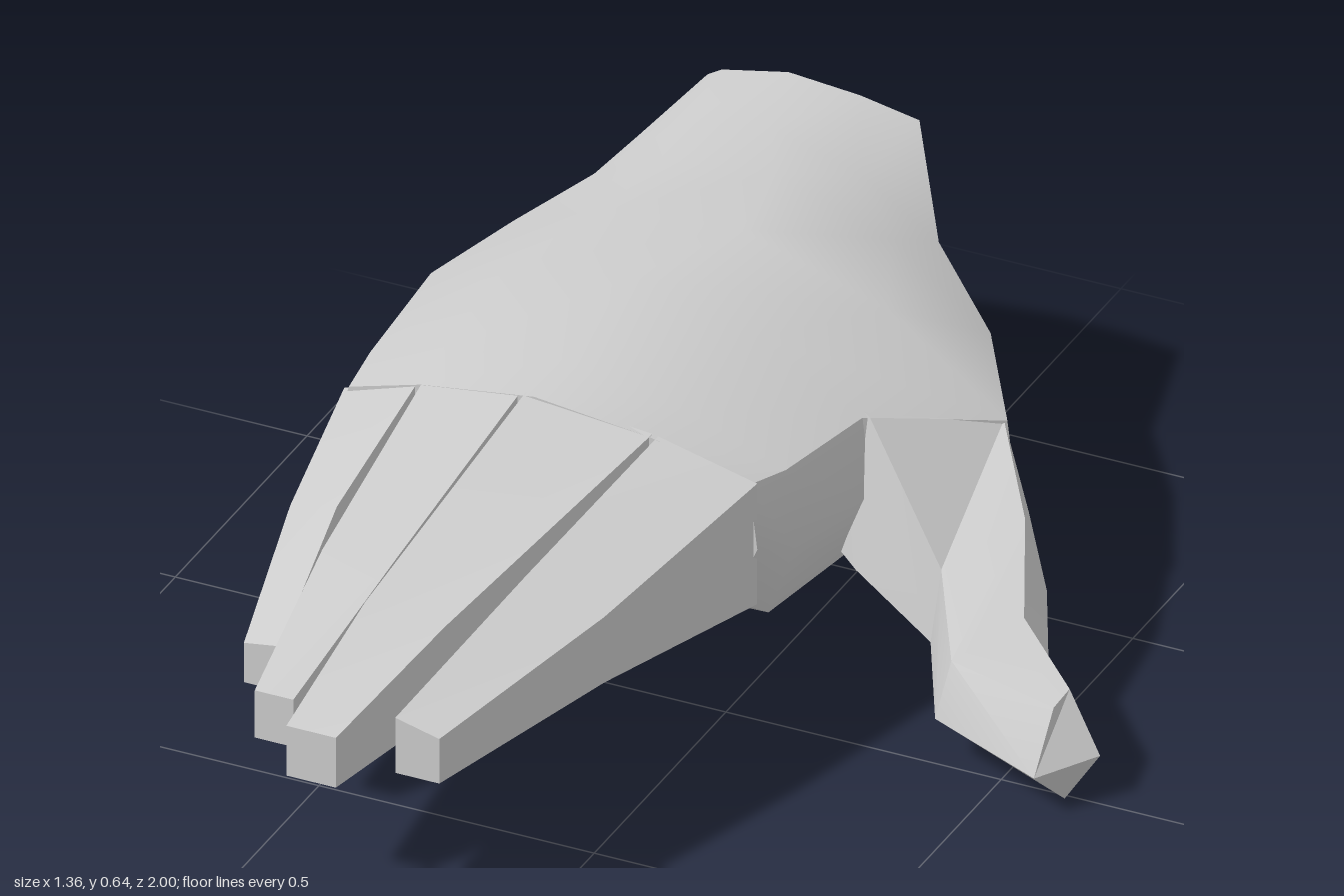
import * as THREE from 'three';
import { toCreasedNormals } from 'three/addons/utils/BufferGeometryUtils.js';

const material = new THREE.MeshStandardMaterial({ color: 0xcccccc, side: THREE.DoubleSide });
const mix = THREE.MathUtils.lerp;

// Skin a list of rings (each a list of [x, y, z], clockwise seen from the far end), closing the last one
function loft(name, rings) {
  const n = rings[0].length;
  const index = [];
  for (let i = 0; i < rings.length - 1; i++) {
    for (let j = 0; j < n; j++) {
      const a = i * n + j, b = i * n + (j + 1) % n;
      index.push(a, a + n, b, b, a + n, b + n);
    }
  }
  // End cap, fanned from the fourth corner
  const base = (rings.length - 1) * n;
  for (let k = 1; k < n - 1; k++) index.push(base + 3, base + (4 + k) % n, base + (3 + k) % n);
  const geometry = new THREE.BufferGeometry();
  geometry.setAttribute('position', new THREE.Float32BufferAttribute(rings.flat(2), 3));
  geometry.setIndex(index);
  const mesh = new THREE.Mesh(toCreasedNormals(geometry, 0.6), material);
  mesh.name = name;
  return mesh;
}

// Palm cross-section: an arched back, a ridge on the thumb side and a shallow underside
function palmRing(z, left, right, crown, ridge, floor, heel, shoulder = 0.03, tilt = 0) {
  const outline = [
    [0, 0.425], [shoulder, mix(0.425, crown, 0.5 + 2 * shoulder)], [0.2, crown - 0.03], [0.47, crown],
    [0.75, mix(crown, ridge, 0.35)], [0.98, ridge], [1, mix(ridge, heel, 0.52)],
    [0.94, heel], [0.52, floor], [0.2, mix(floor, 0.28, 0.5)], [0.03, 0.285],
  ];
  return outline.map(([t, y]) => [mix(left, right, t), y, z + tilt * (y - 0.43)]);
}

// Four-cornered finger cross-section
const fingerRing = (z, left, right, topLeft, topRight, bottom) =>
  [[left, topLeft, z], [right, topRight, z], [right, bottom, z], [left, bottom, z]];

// Rows: z, left x, right x, left top y, right top y, bottom y
const fingers = {
  littleFinger: [
    [0.09, -0.65, -0.517, 0.5, 0.544, 0.28],
    [0.4, -0.6, -0.515, 0.455, 0.475, 0.305],
    [0.67, -0.555, -0.49, 0.35, 0.36, 0.275]],
  ringFinger: [
    [0.09, -0.507, -0.33, 0.549, 0.574, 0.27],
    [0.55, -0.47, -0.34, 0.485, 0.495, 0.32],
    [0.89, -0.43, -0.36, 0.41, 0.41, 0.32]],
  middleFinger: [
    [0.09, -0.32, -0.09, 0.577, 0.556, 0.27],
    [0.7, -0.32, -0.175, 0.505, 0.495, 0.335],
    [1, -0.32, -0.23, 0.43, 0.43, 0.335]],
  indexFinger: [
    [0.09, -0.08, 0.1, 0.554, 0.51, 0.28],
    [0.5, -0.122, 0.018, 0.5, 0.455, 0.33],
    [0.9, -0.17, -0.09, 0.43, 0.41, 0.325]],
};

export function createModel() {
  const hand = new THREE.Group();
  hand.name = 'hand';

  // Palm from the open, slanted wrist to the knuckles: z, left, right, crown, ridge, floor, heel
  hand.add(loft('palm', [
    palmRing(-0.955, -0.54, -0.08, 0.645, 0.61, 0.19, 0.25, 0.14, 0.186),
    palmRing(-0.75, -0.56, 0.04, 0.64, 0.5, 0.17, 0.17, 0.07),
    palmRing(-0.63, -0.575, 0.195, 0.635, 0.43, 0.17, 0.11, 0.045),
    palmRing(-0.45, -0.63, 0.315, 0.63, 0.39, 0.16, 0.1),
    palmRing(-0.25, -0.68, 0.145, 0.62, 0.46, 0.17, 0.19),
    palmRing(0, -0.67, 0.125, 0.595, 0.49, 0.2, 0.21),
    palmRing(0.1, -0.66, 0.105, 0.578, 0.51, 0.265, 0.28),
  ]));

  for (const [name, rows] of Object.entries(fingers)) {
    hand.add(loft(name, rows.map((row) => fingerRing(...row))));
  }

  // Thumb: top ridge, outer side, underside, lower and upper inner edge, out to a pointed tip
  hand.add(loft('thumb', [
    [[0.12, 0.39, -0.62], [0.16, 0.28, -0.62], [0.1, 0.15, -0.56], [-0.03, 0.24, -0.32], [-0.03, 0.5, -0.35]],
    [[0.29, 0.39, -0.45], [0.33, 0.22, -0.46], [0.22, 0.1, -0.4], [0.14, 0.2, -0.2], [0.14, 0.46, -0.255]],
    [[0.4, 0.31, -0.3], [0.43, 0.17, -0.32], [0.33, 0.07, -0.25], [0.3, 0.13, -0.15], [0.31, 0.26, -0.17]],
    [[0.47, 0.22, -0.15], [0.51, 0.12, -0.16], [0.48, 0.005, -0.08], [0.38, 0.085, 0], [0.4, 0.19, -0.02]],
    [[0.61, 0.185, -0.03], [0.675, 0.085, -0.01], [0.62, 0, 0.01], [0.605, 0.08, 0.095], [0.605, 0.175, 0.02]],
  ]));
  return hand;
}
